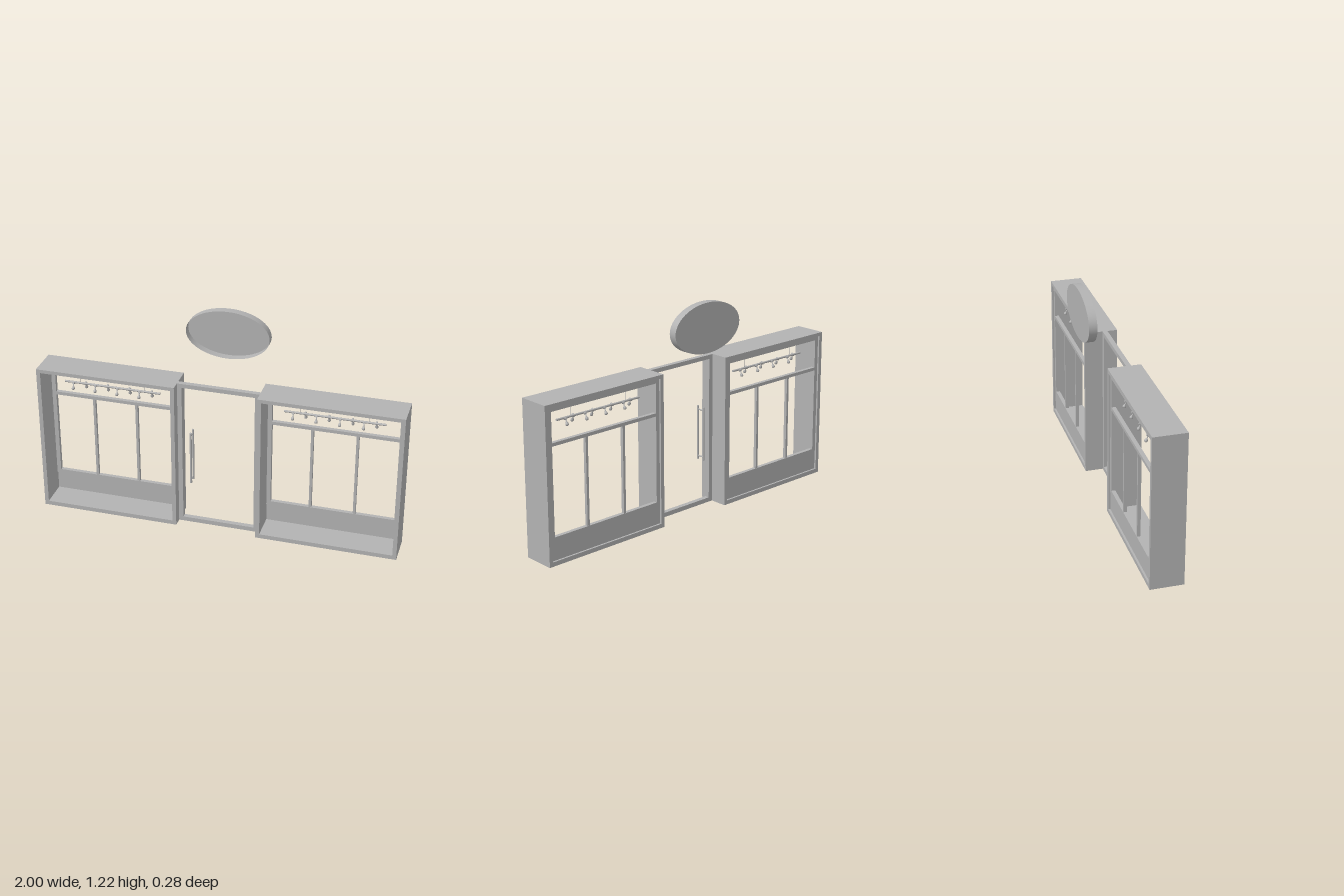
import * as THREE from 'three';

const grey = new THREE.MeshStandardMaterial({ color: 0xb2b2b2, side: THREE.DoubleSide });
grey.name = 'grey';

function add(parent, name, geometry, x = 0, y = 0, z = 0) {
  const mesh = new THREE.Mesh(geometry, grey);
  mesh.name = name;
  mesh.position.set(x, y, z);
  parent.add(mesh);
  return mesh;
}

// Box given by its limits on each axis
function bar(parent, name, x0, x1, y0, y1, z0, z1) {
  return add(parent, name, new THREE.BoxGeometry(x1 - x0, y1 - y0, z1 - z0),
    (x0 + x1) / 2, (y0 + y1) / 2, (z0 + z1) / 2);
}

// Rectangular frame: outer and inner limits as [x0, x1, y0, y1]
function frame(parent, name, outer, inner, z0, z1) {
  const trace = (path, [x0, x1, y0, y1]) =>
    path.moveTo(x0, y0).lineTo(x1, y0).lineTo(x1, y1).lineTo(x0, y1).closePath();
  const shape = new THREE.Shape();
  const hole = new THREE.Path();
  trace(shape, outer);
  trace(hole, inner);
  shape.holes.push(hole);
  const geometry = new THREE.ExtrudeGeometry(shape, { depth: z1 - z0, bevelEnabled: false });
  return add(parent, name, geometry, 0, 0, z0);
}

// Small spotlight hanging from the track, leaning to one side
function spotlight(parent, x, y, z, side) {
  const spot = new THREE.Group();
  spot.name = 'spotlight';
  const profile = [[0, 0.002], [0.003, 0], [0.003, -0.016], [0.008, -0.025], [0.009, -0.032], [0.006, -0.037], [0, -0.038]]
    .map(([r, h]) => new THREE.Vector2(r, h)).reverse();
  add(spot, 'lamp', new THREE.LatheGeometry(profile, 12));
  const clip = add(spot, 'clip', new THREE.CylinderGeometry(0.006, 0.006, 0.018, 10));
  clip.rotation.x = Math.PI / 2;
  spot.position.set(x, y, z + side * 0.008);
  spot.rotation.x = -side * 0.4;
  parent.add(spot);
}

// Display window, centred on its own x axis
function displayWindow(name, side) {
  const g = new THREE.Group();
  g.name = name;
  const h = 0.3875;
  frame(g, 'caseShell', [-h, h, 0, 0.855], [-h + 0.022, h - 0.022, 0.024, 0.835], -0.042, 0.139);

  // Glazing frame set just inside the back opening
  const w = h - 0.022, i = h - 0.045;
  frame(g, 'windowFrame', [-w, w, 0.128, 0.835], [-i, i, 0.15, 0.812], -0.032, -0.01);
  bar(g, 'lowerPanel', -w, w, 0.024, 0.128, -0.031, -0.018);
  bar(g, 'transom', -i, i, 0.632, 0.65, -0.032, -0.01);
  for (const x of [-0.122, 0.122]) bar(g, 'mullion', x - 0.007, x + 0.007, 0.15, 0.632, -0.03, -0.012);

  // Lighting track with hanging wires and spotlights
  const z = 0.02;
  const track = add(g, 'lightTrack', new THREE.CylinderGeometry(0.006, 0.006, 0.542, 12), 0, 0.742, z);
  track.rotation.z = Math.PI / 2;
  for (const x of [-0.182, 0.182])
    add(g, 'hangerWire', new THREE.CylinderGeometry(0.0015, 0.0015, 0.093, 6), x, 0.789, z);
  for (let k = 0; k < 8; k++) spotlight(g, -0.22 + k * 0.0628, 0.74, z, k % 2 ? -1 : 1);

  g.position.x = side * 0.6125;
  return g;
}

export function createModel() {
  const model = new THREE.Group();
  model.name = 'shopfront';
  model.add(displayWindow('leftWindow', 1), displayWindow('rightWindow', -1));

  // Doorway between the windows
  frame(model, 'doorFrame', [-0.226, 0.226, 0, 0.855], [-0.2, 0.2, 0.025, 0.832], 0.058, 0.085);

  // Pull handle on both faces of the door
  const handle = new THREE.Group();
  handle.name = 'doorHandle';
  for (const z of [0.05, 0.094])
    add(handle, 'grip', new THREE.CylinderGeometry(0.006, 0.006, 0.31, 12), -0.15, 0.415, z);
  for (const y of [0.28, 0.55]) {
    const post = add(handle, 'standoff', new THREE.CylinderGeometry(0.004, 0.004, 0.044, 10), -0.15, y, 0.072);
    post.rotation.x = Math.PI / 2;
  }
  model.add(handle);

  // Oval sign tray above the door, open to the front
  const sign = new THREE.Group();
  sign.name = 'ovalSign';
  const rim = add(sign, 'signRim', new THREE.CylinderGeometry(1, 1, 0.044, 64, 1, true));
  rim.rotation.x = Math.PI / 2;
  const back = add(sign, 'signBack', new THREE.CircleGeometry(1, 64), 0, 0, -0.022);
  back.rotation.y = Math.PI;
  sign.scale.set(0.229, 0.136, 1);
  sign.position.set(0, 1.081, -0.117);
  model.add(sign);

  return model;
}
